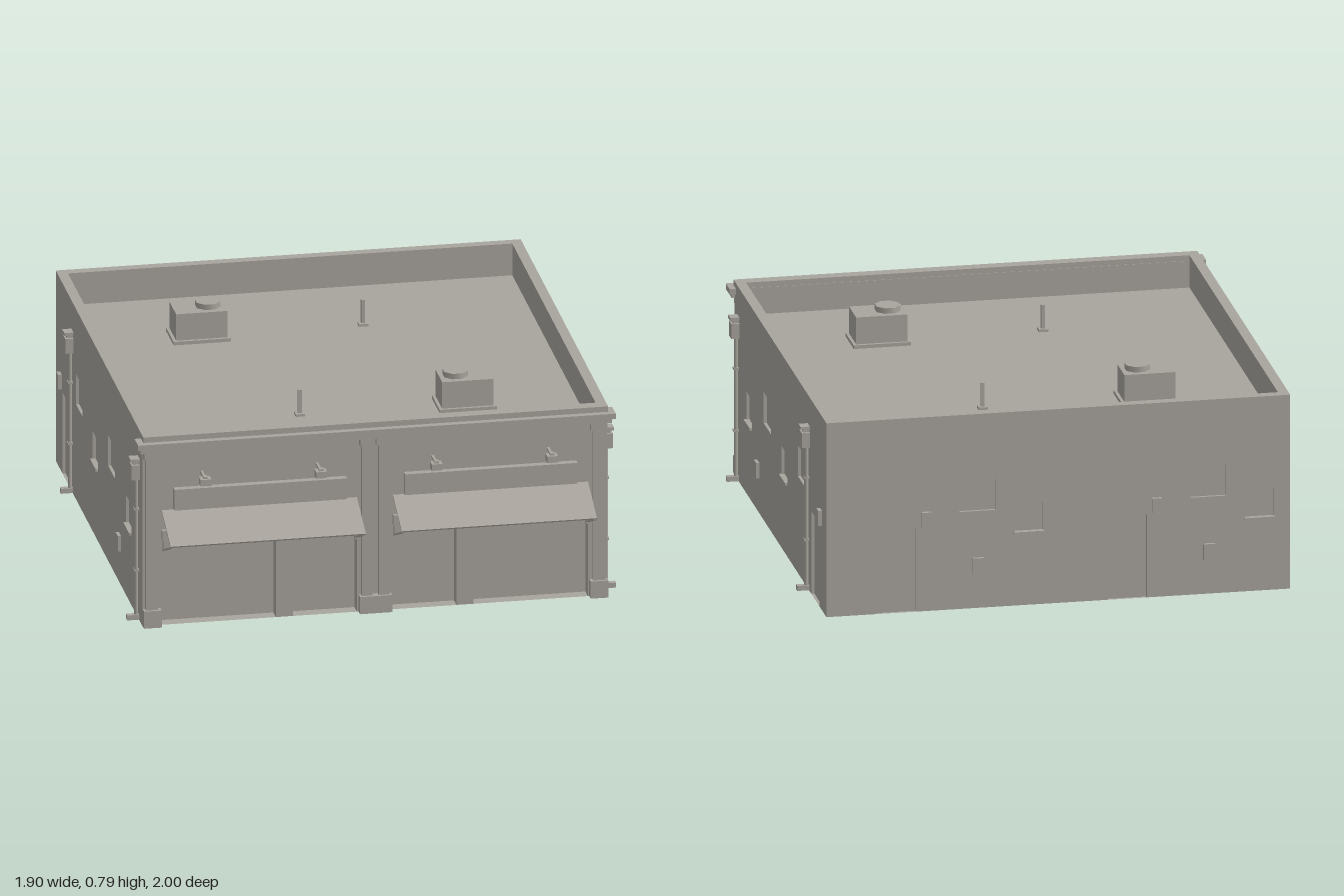
import * as THREE from 'three';

const plaster = new THREE.MeshStandardMaterial({ color: 0xa8a49d, side: THREE.DoubleSide });
plaster.name = 'warm grey plaster';

function add(parent, name, geometry) {
  const mesh = new THREE.Mesh(geometry, plaster);
  mesh.name = name;
  parent.add(mesh);
  return mesh;
}

// Box given by its limits on each axis
function block(parent, name, x0, x1, y0, y1, z0, z1) {
  const g = new THREE.BoxGeometry(x1 - x0, y1 - y0, z1 - z0);
  g.translate((x0 + x1) / 2, (y0 + y1) / 2, (z0 + z1) / 2);
  return add(parent, name, g);
}

// Thin bar between two points of the yz plane
function bar(parent, name, x0, x1, a, b, t) {
  const [za, ya] = a, [zb, yb] = b;
  const mesh = add(parent, name, new THREE.BoxGeometry(x1 - x0, t, Math.hypot(zb - za, yb - ya)));
  mesh.position.set((x0 + x1) / 2, (ya + yb) / 2, (za + zb) / 2);
  mesh.rotation.x = -Math.atan2(yb - ya, zb - za);
}

// Wall sheet facing local +z at z = 0, with recessed openings [u0, u1, y0, y1, depth]
function wall(parent, u0, u1, height, openings) {
  const s = new THREE.Shape();
  s.moveTo(u0, 0);
  const doors = openings.filter(o => o[2] === 0).sort((a, b) => a[0] - b[0]);
  for (const [a, b, , top] of doors) {
    s.lineTo(a, 0); s.lineTo(a, top); s.lineTo(b, top); s.lineTo(b, 0);
  }
  s.lineTo(u1, 0); s.lineTo(u1, height); s.lineTo(u0, height); s.closePath();
  for (const [a, b, c, d] of openings.filter(o => o[2] > 0)) {
    const h = new THREE.Path();
    h.moveTo(a, c); h.lineTo(a, d); h.lineTo(b, d); h.lineTo(b, c); h.closePath();
    s.holes.push(h);
  }
  add(parent, 'wall', new THREE.ShapeGeometry(s));
  for (const [a, b, c, d, depth] of openings) {
    const m = block(parent, c === 0 ? 'doorRecess' : 'windowRecess', a, b, c, d, -depth, 0);
    const index = Array.from(m.geometry.index.array);
    index.splice(24, 6); // leave the outer side open
    m.geometry.setIndex(index);
    m.geometry.clearGroups();
  }
}

// Sill, vent and wall lamp that accompany the openings
const sill = (p, a, b) => block(p, 'windowSill', a, b, 0.287, 0.297, -0.005, 0.01);
const vent = (p, a, b) => block(p, 'wallVent', a, b, 0.14, 0.203, 0, 0.013);
const lamp = (p, a, b) => block(p, 'wallLamp', a, b, 0.34, 0.4, 0, 0.015);

// Rainwater pipe with hopper, centred on u
function downpipe(parent, u) {
  const g = new THREE.Group();
  g.name = 'downpipe';
  g.position.x = u;
  parent.add(g);
  const pipe = add(g, 'pipe', new THREE.CylinderGeometry(0.008, 0.008, 0.58, 8));
  pipe.position.set(0, 0.3, 0.01);
  block(g, 'hopper', -0.025, 0.025, 0.58, 0.64, 0, 0.032);
  block(g, 'hopperNeck', -0.015, 0.015, 0.64, 0.652, 0, 0.025);
  block(g, 'hopperLid', -0.022, 0.022, 0.652, 0.664, 0, 0.036);
  for (const y of [0.2, 0.45]) block(g, 'pipeClip', -0.011, 0.011, y, y + 0.008, 0, 0.02);
  block(g, 'outlet', -0.011, 0.011, 0.002, 0.022, 0, 0.047);
}

function sideWall(parent, sign) {
  const mirror = new THREE.Group();
  mirror.name = sign > 0 ? 'leftSide' : 'rightSide';
  mirror.scale.x = sign;
  const g = new THREE.Group();
  g.position.x = 0.905;
  g.rotation.y = Math.PI / 2; // local u runs towards the back
  mirror.add(g);
  parent.add(mirror);
  wall(g, -0.81, 0.985, 0.65, [
    [-0.58, -0.47, 0.297, 0.41, 0.012], [-0.24, -0.1, 0.39, 0.515, 0.012],
    [0.11, 0.22, 0.297, 0.41, 0.012], [0.427, 0.567, 0.39, 0.515, 0.012],
    [0.69, 0.845, 0, 0.333, 0.012],
  ]);
  sill(g, -0.585, -0.465);
  sill(g, 0.105, 0.225);
  vent(g, -0.37, -0.325);
  lamp(g, 0.86, 0.897);
  downpipe(g, -0.735);
  downpipe(g, 0.64);
}

function backWall(parent) {
  const g = new THREE.Group();
  g.name = 'backSide';
  g.position.z = -0.985;
  g.rotation.y = Math.PI;
  parent.add(g);
  const openings = [];
  for (const o of [0, 0.9]) {
    openings.push([o - 0.71, o - 0.555, 0, 0.333, 0.012],
      [o - 0.385, o - 0.245, 0.39, 0.515, 0.012],
      [o - 0.17, o - 0.06, 0.297, 0.41, 0.012]);
    lamp(g, o - 0.535, o - 0.498);
    vent(g, o - 0.335, o - 0.29);
    sill(g, o - 0.175, o - 0.055);
  }
  wall(g, -0.905, 0.905, 0.65, openings);
}

// One pilaster with plinth and capital
function pilaster(parent, x0, x1) {
  block(parent, 'pilasterPlinth', x0, x1, 0, 0.07, 0.81, 0.84);
  block(parent, 'pilasterShaft', x0 + 0.012, x1 - 0.01, 0.07, 0.69, 0.81, 0.83);
  block(parent, 'pilasterCapital', x0 + 0.003, x1 - 0.002, 0.685, 0.715, 0.81, 0.835);
}

// Shop bay: awning, sign board and lamps
function shopBay(parent, sign) {
  const g = new THREE.Group();
  g.name = 'shopBay';
  g.scale.x = sign;
  parent.add(g);
  pilaster(g, 0, 0.063);
  pilaster(g, 0.835, 0.904);
  block(g, 'shopHeader', 0.07, 0.83, 0.35, 0.39, 0.81, 0.828);
  block(g, 'signBoard', 0.113, 0.785, 0.475, 0.56, 0.81, 0.838);
  bar(g, 'awning', 0.07, 0.83, [0.812, 0.468], [0.998, 0.388], 0.006);
  for (const x of [0.073, 0.819]) {
    bar(g, 'awningStrut', x, x + 0.008, [0.81, 0.306], [0.995, 0.385], 0.006);
    block(g, 'awningBracket', x, x + 0.008, 0.306, 0.35, 0.81, 0.83);
  }
  for (const x of [0.225, 0.675]) {
    block(g, 'signLampArm', x - 0.005, x + 0.005, 0.613, 0.622, 0.81, 0.87);
    block(g, 'signLampHead', x - 0.021, x + 0.021, 0.594, 0.62, 0.867, 0.907);
    block(g, 'signLampCap', x - 0.008, x + 0.008, 0.62, 0.628, 0.875, 0.898);
  }
}

// Roof machine with fan, and a vent pole
function roofUnit(parent, x, z, turn) {
  const g = new THREE.Group();
  g.name = 'roofUnit';
  g.position.set(x, 0.65, z);
  g.rotation.y = turn;
  parent.add(g);
  block(g, 'unitFlange', -0.112, 0.112, 0, 0.014, -0.082, 0.082);
  block(g, 'unitBody', -0.1, 0.1, 0.014, 0.122, -0.07, 0.07);
  const fan = add(g, 'unitFan', new THREE.CylinderGeometry(0.05, 0.05, 0.022, 8).toNonIndexed());
  fan.geometry.rotateY(Math.PI / 8);
  fan.position.set(0.036, 0.133, 0);
}

function roofPole(parent, x, z) {
  block(parent, 'poleBase', x - 0.018, x + 0.018, 0.65, 0.66, z - 0.018, z + 0.018);
  block(parent, 'ventPole', x - 0.007, x + 0.007, 0.66, 0.755, z - 0.007, z + 0.007);
}

export function createModel() {
  const model = new THREE.Group();
  model.name = 'shopBuilding';

  for (const sign of [1, -1]) {
    sideWall(model, sign);
    shopBay(model, sign);
  }
  backWall(model);

  // Front wall with recessed shop windows and doors
  const front = new THREE.Group();
  front.name = 'frontSide';
  front.position.z = 0.81;
  model.add(front);
  wall(front, -0.905, 0.905, 0.72, [
    [-0.83, -0.385, 0, 0.35, 0.05], [-0.318, -0.07, 0, 0.35, 0.05],
    [0.07, 0.318, 0, 0.35, 0.05], [0.385, 0.83, 0, 0.35, 0.05],
  ]);

  // Flat roof and parapet ring
  const roof = add(model, 'roof', new THREE.PlaneGeometry(1.81, 1.79).rotateX(-Math.PI / 2));
  roof.position.set(0, 0.65, -0.0875);
  const ring = new THREE.Shape();
  ring.moveTo(-0.905, -0.81); ring.lineTo(0.905, -0.81);
  ring.lineTo(0.905, 0.985); ring.lineTo(-0.905, 0.985); ring.closePath();
  const inner = new THREE.Path();
  inner.moveTo(-0.865, -0.782); inner.lineTo(-0.865, 0.945);
  inner.lineTo(0.865, 0.945); inner.lineTo(0.865, -0.782); inner.closePath();
  ring.holes.push(inner);
  const parapet = new THREE.ExtrudeGeometry(ring, { depth: 0.13, bevelEnabled: false });
  parapet.rotateX(-Math.PI / 2);
  add(model, 'parapet', parapet).position.y = 0.65;

  // Stepped front cornice
  block(model, 'frontCoping', -0.905, 0.905, 0.715, 0.78, 0.81, 0.83);
  block(model, 'corniceLower', -0.918, 0.918, 0.716, 0.736, 0.8, 0.842);
  block(model, 'corniceUpper', -0.93, 0.93, 0.736, 0.758, 0.78, 0.856);

  // Rooftop equipment
  roofUnit(model, -0.435, -0.53, 0);
  roofUnit(model, 0.432, 0.37, Math.PI);
  roofPole(model, 0.205, -0.53);
  roofPole(model, -0.21, 0.37);
  return model;
}
